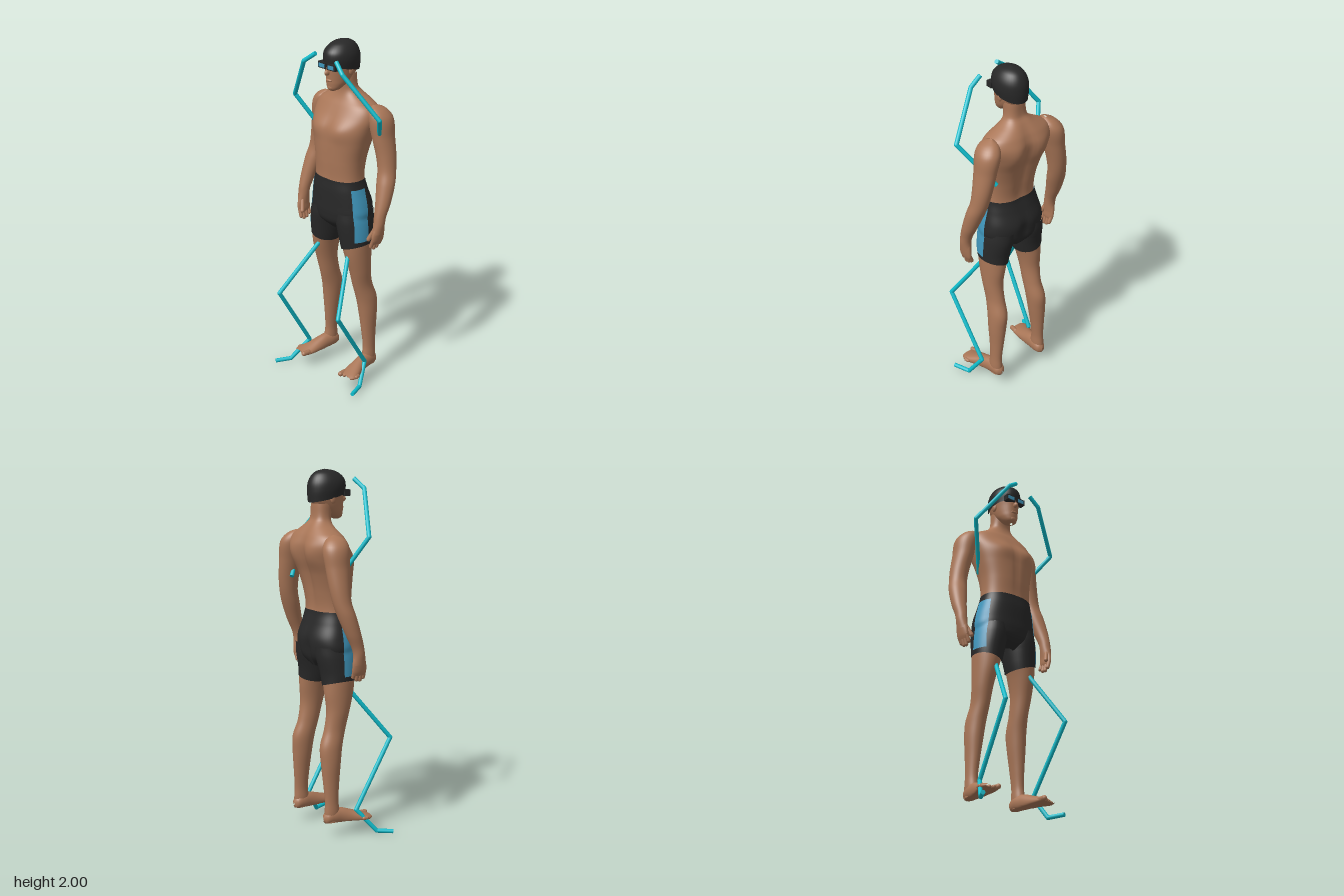
import * as THREE from 'three';

const mat = (name, color, extra = {}) =>
  Object.assign(new THREE.MeshStandardMaterial({ color, ...extra }), { name });

// Smoothly sample a table of sections [s, cx, cz, rx, rz] at height s
function sample(table, s) {
  let i = 0;
  while (i < table.length - 2 && s > table[i + 1][0]) i++;
  const slope = (k, c) => {
    const a = table[Math.max(k - 1, 0)], b = table[Math.min(k + 1, table.length - 1)];
    return (b[c] - a[c]) / (b[0] - a[0]);
  };
  const p = table[i], q = table[i + 1], h = q[0] - p[0], t = (s - p[0]) / h;
  const t2 = t * t, t3 = t2 * t;
  return [1, 2, 3, 4].map(c => (2 * t3 - 3 * t2 + 1) * p[c] + (t3 - 2 * t2 + t) * h * slope(i, c)
    + (3 * t2 - 2 * t3) * q[c] + (t3 - t2) * h * slope(i + 1, c));
}

// Skin a body part from rounded cross-sections between two heights
function loft(table, s0, s1, { side = 1, n = 2, grow = 0, rows = 36, seg = 36, deform } = {}) {
  const pos = [], idx = [], v = new THREE.Vector3();
  const pw = c => Math.sign(c) * Math.abs(c) ** (2 / n);
  for (let i = 0; i <= rows; i++) {
    const s = s0 + (s1 - s0) * i / rows;
    const [cx, cz, rx, rz] = sample(table, s);
    for (let j = 0; j < seg; j++) {
      const a = (j / seg) * Math.PI * 2;
      v.set(cx * side + (Math.max(rx, 0.001) + grow) * pw(Math.cos(a)), s,
        cz + (Math.max(rz, 0.001) + grow) * pw(Math.sin(a)));
      if (deform) deform(v, cz);
      pos.push(v.x, v.y, v.z);
      if (i < rows) {
        const k = i * seg + j, m = i * seg + (j + 1) % seg;
        idx.push(k, k + seg, m, m, k + seg, m + seg);
      }
    }
  }
  const g = new THREE.BufferGeometry();
  g.setAttribute('position', new THREE.Float32BufferAttribute(pos, 3));
  g.setIndex(idx);
  g.computeVertexNormals();
  return g;
}

const TORSO = [[.94, 0, -.075, .04, .07], [.99, 0, -.068, .15, .11], [1.04, 0, -.068, .183, .122],
  [1.1, 0, -.068, .18, .124], [1.18, 0, -.055, .162, .112], [1.25, 0, -.05, .148, .102],
  [1.35, 0, -.055, .152, .112], [1.45, 0, -.068, .172, .126], [1.53, 0, -.086, .192, .135],
  [1.6, 0, -.108, .205, .12], [1.65, 0, -.114, .185, .098], [1.68, 0, -.115, .135, .08],
  [1.71, 0, -.11, .085, .064], [1.74, 0, -.1, .062, .052], [1.82, 0, -.09, .058, .055]];
const LEG = [[.085, .158, -.13, .03, .045], [.14, .158, -.13, .032, .045], [.2, .157, -.132, .03, .04],
  [.3, .152, -.132, .036, .047], [.42, .146, -.13, .047, .058], [.51, .14, -.124, .05, .066],
  [.6, .134, -.097, .047, .063], [.7, .134, -.076, .053, .068], [.8, .127, -.066, .064, .085],
  [.9, .114, -.061, .079, .096], [1, .1, -.066, .086, .114], [1.06, .095, -.07, .08, .116]];
const ARM = [[.985, .297, -.048, .024, .04], [1.04, .299, -.052, .03, .033], [1.08, .298, -.06, .032, .035],
  [1.15, .294, -.085, .041, .043], [1.25, .28, -.118, .051, .05], [1.32, .267, -.138, .05, .051],
  [1.4, .253, -.145, .052, .058], [1.5, .232, -.143, .056, .068], [1.6, .212, -.14, .062, .074],
  [1.65, .193, -.13, .04, .05], [1.668, .182, -.128, .005, .01]];
const HAND = [[.925, .292, -.046, .01, .034], [.945, .293, -.046, .017, .043], [.985, .297, -.048, .021, .042],
  [1.03, .299, -.052, .026, .032]];
// Foot sections run heel to toe; third column is minus the height
const FOOT = [[-.183, .155, -.105, .004, .01], [-.172, .155, -.108, .026, .03], [-.13, .157, -.115, .036, .045],
  [-.08, .162, -.11, .037, .048], [-.03, .17, -.1, .042, .043], [.03, .184, -.092, .051, .03],
  [.065, .19, -.09, .052, .02], [.09, .188, -.09, .042, .012]];
const HEAD = [[1.732, 0, .002, .01, .012], [1.742, 0, -.004, .031, .034], [1.77, 0, -.024, .05, .06],
  [1.8, 0, -.044, .06, .082], [1.84, 0, -.058, .068, .099], [1.88, 0, -.06, .074, .104], [1.92, 0, -.06, .074, .1]];
const CAP = [[1.85, 0, -.06, .079, .107], [1.9, 0, -.06, .085, .111], [1.94, 0, -.062, .079, .104],
  [1.975, 0, -.066, .058, .077], [1.992, 0, -.068, .033, .044], [2, 0, -.07, .001, .001]];

const gauss = (d, w) => Math.exp(-((d / w) ** 2));

// Chest, stomach line, spine groove and seat cleft
function torsoMuscles(v, cz) {
  if (v.z < cz) {
    v.z += .024 * gauss(v.x, .035) * gauss(v.y - 1.48, .2);
    v.z -= .012 * gauss(Math.abs(v.x) - .09, .05) * gauss(v.y - 1.56, .07);
    v.z += .022 * gauss(v.x, .025) * gauss(v.y - 1.03, .08);
  } else {
    v.z += .013 * gauss(Math.abs(v.x) - .085, .06) * gauss(v.y - 1.53, .06);
    v.z -= .006 * gauss(v.x, .015) * gauss(v.y - 1.42, .15);
  }
}

// Outer x of a section table at a given height and depth
function outerX(table, y, z, n) {
  const [cx, cz, rx, rz] = sample(table, y);
  return cx + rx * Math.max(0, 1 - Math.abs((z - cz) / rz) ** n) ** (1 / n);
}

// Thin panel following the side of the shorts
function sidePanel(side) {
  const g = new THREE.PlaneGeometry(.085, .3, 8, 24), p = g.attributes.position;
  for (let i = 0; i < p.count; i++) {
    const y = p.getY(i) + 1.05, z = p.getX(i) - .033;
    const x = Math.max(y > 1 ? outerX(TORSO, y, z, 2.3) : 0, y < 1.06 ? outerX(LEG, y, z, 2) : 0) + .008;
    p.setXYZ(i, x * side, y, z);
  }
  g.computeVertexNormals();
  return g;
}

export function createModel() {
  const model = new THREE.Group();
  const skin = mat('skin', 0xaa7758), black = mat('black fabric', 0x282828);
  const teal = mat('teal', 0x0fbccb);
  const blue = mat('blue panel', 0x4097bd, { side: THREE.DoubleSide });

  const add = (name, geo, material, parent = model) => {
    const m = new THREE.Mesh(geo, material);
    m.name = name;
    parent.add(m);
    return m;
  };
  const ball = (name, p, s, material) => {
    const m = add(name, new THREE.SphereGeometry(1, 20, 14), material);
    m.position.set(...p);
    m.scale.set(...s);
  };
  // Rod between two points, with round or flat ends
  const rod = (name, a, b, r, material, round, parent = model) => {
    const p = new THREE.Vector3(...a), q = new THREE.Vector3(...b), len = p.distanceTo(q);
    const geo = round ? new THREE.CapsuleGeometry(r, len, 5, 12) : new THREE.CylinderGeometry(r, r, len, 12);
    const m = add(name, geo, material, parent);
    m.position.copy(p).add(q).multiplyScalar(.5);
    m.quaternion.setFromUnitVectors(new THREE.Vector3(0, 1, 0), q.sub(p).normalize());
  };

  // Torso and shorts
  add('torso', loft(TORSO, 1.24, 1.82, { n: 2.3, rows: 60, seg: 64, deform: torsoMuscles }), skin);
  add('shortsSeat', loft(TORSO, .94, 1.245, { n: 2.3, grow: .003, seg: 64, deform: torsoMuscles }), black);

  // Head, face and cap
  add('head', loft(HEAD, 1.732, 1.92), skin);
  add('swimCap', loft(CAP, 1.85, 2, {
    rows: 48, deform: v => { v.y += .22 * (v.z + .06) * (2 - v.y) / .15; },
  }), black);
  ball('nose', [0, 1.838, .044], [.012, .016, .02], skin);
  ball('noseBridge', [0, 1.857, .038], [.008, .022, .012], skin);
  ball('lips', [0, 1.794, .033], [.022, .009, .011], skin);
  ball('chin', [0, 1.755, .022], [.022, .018, .014], skin);
  add('goggleStrap', loft(HEAD, 1.862, 1.884, { grow: .004, rows: 3 }), black);

  for (const side of [1, -1]) {
    const label = side > 0 ? 'left' : 'right';

    // Goggles and ears
    const rim = add(label + 'GoggleRim', new THREE.BoxGeometry(.058, .034, .035), black);
    rim.position.set(side * .034, 1.873, .034);
    const lens = add(label + 'GoggleLens', new THREE.BoxGeometry(.042, .02, .006), blue);
    lens.position.set(side * .034, 1.872, .052);
    ball(label + 'Ear', [side * .07, 1.845, -.062], [.01, .026, .017], skin);

    // Arm and hand
    add(label + 'Arm', loft(ARM, .985, 1.668, { side, rows: 60 }), skin);
    add(label + 'Palm', loft(HAND, .925, 1.03, { side, rows: 16, seg: 24 }), skin);
    for (let i = 0; i < 4; i++) {
      const z = -.014 - i * .021, drop = [.012, 0, .003, .018][i];
      rod(label + 'Finger', [side * .293, .95, z], [side * .279, .898 + drop, z + .002], .011, skin, true);
    }
    rod(label + 'Thumb', [side * .286, 1.005, -.03], [side * .264, .95, -.008], .012, skin, true);

    // Leg, trouser leg and side panel
    add(label + 'Leg', loft(LEG, .085, .9, { side, rows: 60 }), skin);
    add(label + 'ShortsLeg', loft(LEG, .855, 1.06, {
      side, grow: .004,
      deform: v => {
        const w = THREE.MathUtils.clamp((.95 - v.y) / .1, 0, 1);
        v.y += w * (side * v.x - .13) * .3;
      },
    }), black);
    add(label + 'ShortsPanel', sidePanel(side), blue);

    // Foot with a flat sole, and toes
    const foot = loft(FOOT, -.183, .09, { side, deform: v => { v.z = Math.min(v.z, -.082); } });
    add(label + 'Foot', foot.rotateX(Math.PI / 2), skin);
    for (let i = 0; i < 5; i++) {
      const x = .151 + i * .021, r = i ? .0105 : .014;
      rod(label + 'Toe', [side * x, .082 + r, .06 - i * .007], [side * (x + .003), .082 + r, .093 - i * .011], r, skin, true);
    }
  }

  // Bent teal rods at the arms and legs
  const chains = {
    leftArmRods: [[.09, 1.92, .068], [.145, 1.865, .077], [.32, 1.637, -.02], [.18, 1.41, -.17]],
    rightArmRods: [[-.037, 1.945, .093], [-.103, 1.895, .115], [-.273, 1.655, .028], [-.145, 1.4, -.105]],
    leftLegRods: [[.06, .985, -.1], [.227, .512, .185], [.2, .14, -.055], [.237, .02, .022], [.272, .023, .115]],
    rightLegRods: [[-.045, .985, -.12], [-.213, .523, .222], [-.204, .14, 0], [-.268, .018, .095], [-.315, .013, .173]],
    hipRod: [[.008, .96, -.03], [.008, 1.02, -.03]],
  };
  for (const [name, pts] of Object.entries(chains)) {
    const chain = new THREE.Group();
    chain.name = name;
    model.add(chain);
    pts.slice(1).forEach((p, i) => {
      rod('rod', pts[i], p, .012, teal, false, chain);
      if (i < pts.length - 2) add('joint', new THREE.SphereGeometry(.012, 12, 8), teal, chain).position.set(...p);
    });
  }
  return model;
}
